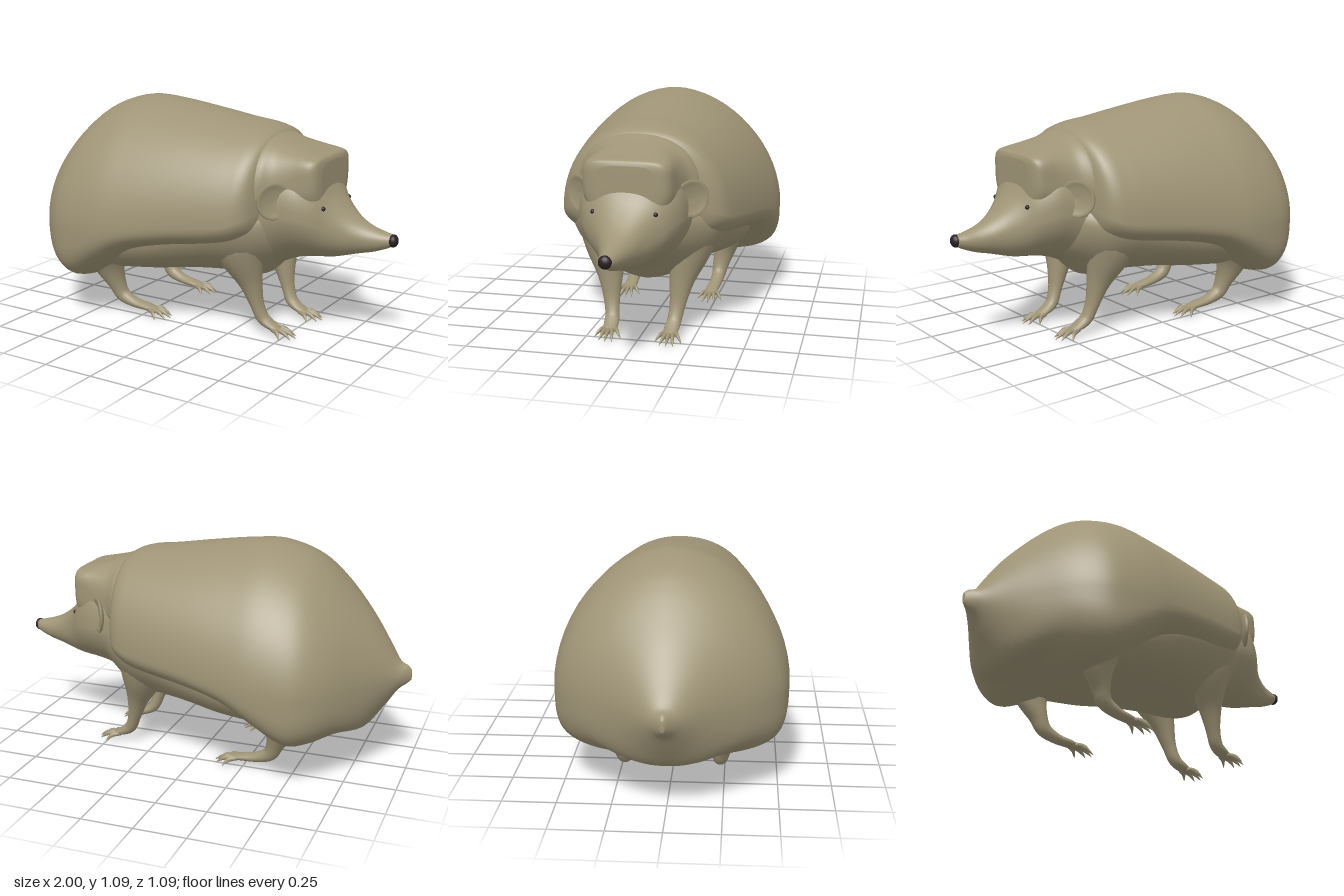
import * as THREE from 'three';

const material = (name, color) => {
  const m = new THREE.MeshStandardMaterial({ color });
  m.name = name;
  return m;
};

// Smooth interpolation between the rows of a section table.
function resample(rows, steps) {
  const out = [];
  const at = (i) => rows[Math.max(0, Math.min(rows.length - 1, i))];
  for (let i = 0; i < rows.length - 1; i++) {
    for (let s = 0; s < steps; s++) {
      const t = s / steps;
      out.push(rows[i].map((b, k) => {
        const a = at(i - 1)[k], c = rows[i + 1][k], d = at(i + 2)[k];
        return b + 0.5 * t * (c - a + t * (2 * a - 5 * b + 4 * c - d + t * (3 * (b - c) + d - a)));
      }));
    }
  }
  out.push(rows[rows.length - 1]);
  return out;
}

// Closed skin over rings of points, with a fan at each end.
function skin(rings) {
  const n = rings[0].length, last = (rings.length - 1) * n;
  const pos = rings.flat().flatMap((p) => p.toArray());
  const index = [];
  for (let i = 0; i < rings.length - 1; i++) {
    for (let j = 0; j < n; j++) {
      const a = i * n + j, b = i * n + (j + 1) % n;
      index.push(a, a + n, b, b, a + n, b + n);
    }
  }
  [rings[0], rings[rings.length - 1]].forEach((ring, e) => {
    const c = ring.reduce((s, p) => s.add(p), new THREE.Vector3()).divideScalar(n);
    const id = pos.length / 3;
    pos.push(c.x, c.y, c.z);
    for (let j = 0; j < n; j++) {
      const k = (j + 1) % n;
      if (e) index.push(id, last + k, last + j);
      else index.push(id, j, k);
    }
  });
  const g = new THREE.BufferGeometry();
  g.setAttribute('position', new THREE.Float32BufferAttribute(pos, 3));
  g.setIndex(index);
  g.computeVertexNormals();
  return g;
}

// Upright sections along x: [x, top, bottom, half width, widest height, upper power, lower power]
function hull(rows, sides = 48, steps = 4) {
  return skin(resample(rows, steps).map(([x, top, bot, w, mid, up, low]) =>
    Array.from({ length: sides }, (_, j) => {
      const a = (j / sides) * Math.PI * 2, c = Math.cos(a), s = Math.sin(a);
      const e = 2 / (s >= 0 ? up : low);
      const z = Math.sign(c) * Math.abs(c) ** e * w;
      const h = Math.abs(s) ** e;
      return new THREE.Vector3(x, s >= 0 ? mid + h * (top - mid) : mid - h * (mid - bot), z);
    })));
}

// Limb along a bent path: [x, y, z, depth radius, side radius]
function limb(rows, sides = 16, steps = 4) {
  const r = resample(rows, steps);
  return skin(r.map(([x, y, z, ra, rb], i) => {
    const p = r[Math.max(0, i - 1)], q = r[Math.min(r.length - 1, i + 1)];
    const len = Math.hypot(q[0] - p[0], q[1] - p[1]) || 1;
    const nx = -(q[1] - p[1]) / len, ny = (q[0] - p[0]) / len;
    return Array.from({ length: sides }, (_, j) => {
      const a = (j / sides) * Math.PI * 2, s = Math.sin(a) * ra;
      return new THREE.Vector3(x + nx * s, y + ny * s, z + Math.cos(a) * rb);
    });
  }));
}

export function createModel() {
  const model = new THREE.Group();
  model.name = 'hedgehog';
  const fur = material('brown fur', 0x9f9476);
  const dark = material('dark nose and eyes', 0x2a2023);
  const add = (parent, name, geometry, mat = fur) => {
    const mesh = new THREE.Mesh(geometry, mat);
    mesh.name = name;
    parent.add(mesh);
    return mesh;
  };

  // Domed coat with a tail point at the back and a skirt edge rising forward
  add(model, 'coat', hull([
    [-1.0, 0.51, 0.46, 0.01, 0.485, 2, 2],
    [-0.98, 0.53, 0.44, 0.03, 0.485, 2, 2],
    [-0.94, 0.55, 0.405, 0.075, 0.48, 2, 2],
    [-0.88, 0.64, 0.315, 0.155, 0.48, 2, 2],
    [-0.8, 0.755, 0.22, 0.27, 0.48, 1.9, 2.4],
    [-0.7, 0.87, 0.222, 0.41, 0.48, 1.87, 3],
    [-0.6, 0.97, 0.195, 0.5, 0.48, 1.85, 3.6],
    [-0.5, 1.04, 0.19, 0.535, 0.48, 1.85, 3.9],
    [-0.35, 1.085, 0.275, 0.545, 0.49, 1.85, 3.2],
    [-0.2, 1.078, 0.36, 0.525, 0.51, 1.87, 2.7],
    [0, 1.05, 0.395, 0.485, 0.54, 1.95, 2.4],
    [0.2, 1.017, 0.41, 0.44, 0.56, 2.05, 2.2],
    [0.3, 1.005, 0.42, 0.412, 0.57, 2.1, 2],
    [0.36, 0.99, 0.45, 0.385, 0.59, 2.2, 2],
    [0.4, 0.972, 0.48, 0.34, 0.61, 2.3, 2],
    [0.425, 0.945, 0.52, 0.265, 0.64, 2.3, 2],
  ], 64));

  // Belly and broad chest under the coat
  add(model, 'belly', hull([
    [-0.7, 0.6, 0.3, 0.2, 0.45, 2, 2.4],
    [-0.5, 0.7, 0.215, 0.38, 0.45, 2, 2.8],
    [-0.2, 0.7, 0.235, 0.43, 0.47, 2, 2.5],
    [0, 0.7, 0.26, 0.42, 0.5, 2, 2.2],
    [0.18, 0.7, 0.265, 0.395, 0.53, 2, 1.9],
    [0.28, 0.7, 0.25, 0.375, 0.54, 2, 1.7],
    [0.35, 0.7, 0.265, 0.345, 0.55, 2, 1.7],
    [0.41, 0.7, 0.32, 0.295, 0.55, 2, 1.8],
    [0.46, 0.69, 0.355, 0.245, 0.56, 2, 1.9],
    [0.52, 0.68, 0.39, 0.18, 0.56, 2, 2],
  ]));

  const head = new THREE.Group();
  head.name = 'head';
  head.position.z = 0.01;
  model.add(head);

  // Face tapering into the snout
  add(head, 'face', hull([
    [0.3, 0.9, 0.32, 0.28, 0.6, 2.2, 2],
    [0.42, 0.88, 0.335, 0.262, 0.6, 2.4, 1.9],
    [0.5, 0.86, 0.367, 0.252, 0.61, 2.5, 1.8],
    [0.58, 0.84, 0.387, 0.237, 0.61, 2.5, 1.8],
    [0.65, 0.785, 0.395, 0.2, 0.59, 2.4, 1.8],
    [0.7, 0.705, 0.402, 0.155, 0.56, 2.3, 1.9],
    [0.76, 0.64, 0.418, 0.11, 0.53, 2.3, 2],
    [0.82, 0.595, 0.435, 0.08, 0.52, 2, 2],
    [0.88, 0.567, 0.45, 0.058, 0.51, 2, 2],
    [0.94, 0.55, 0.472, 0.042, 0.512, 2, 2],
    [0.975, 0.543, 0.49, 0.027, 0.516, 2, 2],
  ]));

  // Square brow hood overhanging the face
  add(head, 'browHood', hull([
    [0.34, 0.97, 0.6, 0.28, 0.7, 2.3, 2],
    [0.41, 0.962, 0.6, 0.29, 0.7, 2.3, 2],
    [0.47, 0.938, 0.6, 0.245, 0.71, 2.7, 2],
    [0.55, 0.915, 0.6, 0.22, 0.72, 3.6, 2.2],
    [0.62, 0.895, 0.6, 0.206, 0.75, 5, 2.3],
    [0.65, 0.889, 0.6, 0.194, 0.77, 5, 2.3],
    [0.668, 0.88, 0.61, 0.17, 0.78, 5, 2.3],
    [0.676, 0.86, 0.64, 0.13, 0.77, 4, 2.3],
  ]));

  // Nose tip
  const nose = add(head, 'nose', new THREE.SphereGeometry(0.03, 16, 12), dark);
  nose.scale.set(0.75, 1, 1);
  nose.position.set(0.977, 0.516, 0.005);

  // Dished ear profile, spun about its facing axis
  const earGeometry = new THREE.LatheGeometry([
    [0, -0.012], [0.05, -0.014], [0.08, -0.004], [0.087, 0.006], [0.082, 0.012], [0.07, 0.007], [0.045, 0], [0, -0.003],
  ].map(([r, y]) => new THREE.Vector2(r, y)), 32);
  const earFacing = new THREE.Vector3(0.79, 0, 0.61);

  for (const side of [1, -1]) {
    const label = side > 0 ? 'Front' : 'Back';

    // Ear and eye
    const features = new THREE.Group();
    features.name = 'headSide' + label;
    features.scale.z = side;
    head.add(features);
    const ear = add(features, 'ear', earGeometry);
    ear.quaternion.setFromUnitVectors(new THREE.Vector3(0, 1, 0), earFacing);
    ear.position.set(0.497, 0.692, 0.26);
    const eye = add(features, 'eye', new THREE.SphereGeometry(0.011, 12, 8), dark);
    eye.position.set(0.687, 0.656, 0.141);

    // Legs, each ending in five clawed toes
    const legs = new THREE.Group();
    legs.name = 'legs' + label;
    legs.scale.z = side;
    model.add(legs);
    add(legs, 'foreleg', limb([
      [0.25, 0.6, 0.22, 0.04, 0.04],
      [0.26, 0.54, 0.22, 0.11, 0.09],
      [0.275, 0.45, 0.215, 0.135, 0.11],
      [0.3, 0.36, 0.2, 0.1, 0.095],
      [0.332, 0.25, 0.175, 0.056, 0.06],
      [0.358, 0.15, 0.162, 0.033, 0.04],
      [0.385, 0.08, 0.152, 0.029, 0.035],
      [0.425, 0.05, 0.147, 0.022, 0.036],
      [0.475, 0.03, 0.145, 0.012, 0.03],
    ]));
    add(legs, 'hindLeg', limb([
      [-0.46, 0.42, 0.3, 0.06, 0.05],
      [-0.455, 0.34, 0.29, 0.13, 0.1],
      [-0.44, 0.23, 0.262, 0.085, 0.065],
      [-0.41, 0.14, 0.24, 0.045, 0.046],
      [-0.38, 0.08, 0.23, 0.036, 0.036],
      [-0.31, 0.05, 0.225, 0.024, 0.032],
      [-0.24, 0.04, 0.22, 0.018, 0.033],
      [-0.175, 0.03, 0.22, 0.011, 0.028],
    ]));
    for (const [name, fx, fz] of [['foreToe', 0.45, 0.145], ['hindToe', -0.21, 0.22]]) {
      for (let i = -2; i <= 2; i++) {
        const reach = 0.11 - 0.014 * i * i, z = fz + i * 0.011;
        add(legs, name, limb([
          [fx - 0.01, 0.035, z, 0.01, 0.012],
          [fx + reach * 0.45, 0.031, z + i * 0.008, 0.012, 0.01],
          [fx + reach * 0.75, 0.02, z + i * 0.014, 0.008, 0.007],
          [fx + reach, 0.003, z + i * 0.021, 0.001, 0.001],
        ], 8, 3));
      }
    }
  }
  return model;
}
